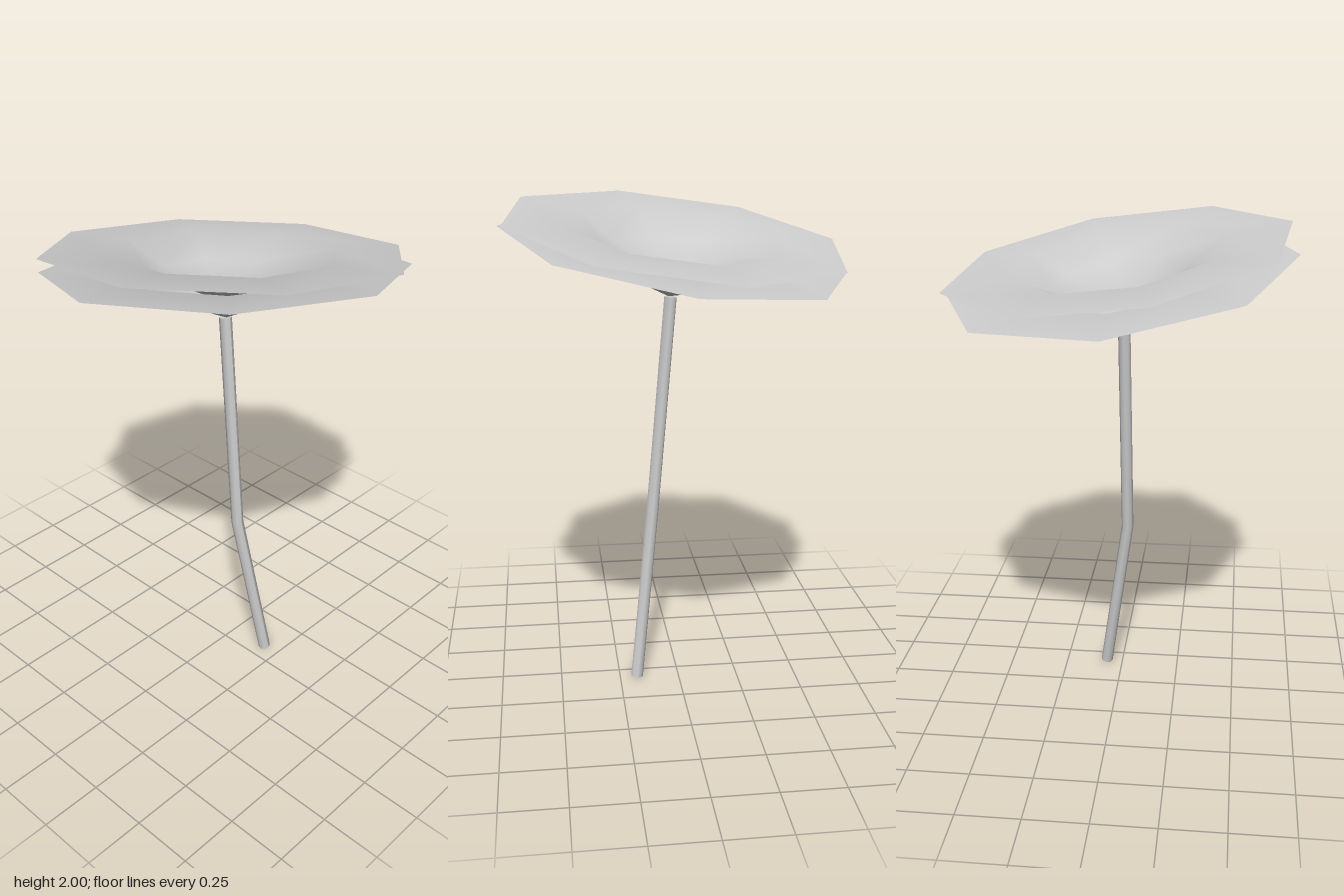
import * as THREE from 'three';
import { mergeVertices } from 'three/addons/utils/BufferGeometryUtils.js';

const grey = new THREE.MeshStandardMaterial({ color: 0xcccccc, side: THREE.DoubleSide });
grey.name = 'pale grey';

// Weld shared corners and smooth the shading over them
function smooth(geometry) {
  geometry.deleteAttribute('normal');
  geometry.deleteAttribute('uv');
  const welded = mergeVertices(geometry, 1e-4);
  welded.computeVertexNormals();
  return welded;
}

// Eight-sided funnel with a flat brim; its origin is the centre of the rim
function funnel(name, height, phase, slopeX, slopeZ) {
  const profile = [[0, -0.19], [0.275, -0.085], [0.435, -0.003], [0.703, 0]]
    .map(([r, y]) => new THREE.Vector2(r, y));
  const mesh = new THREE.Mesh(smooth(new THREE.LatheGeometry(profile, 8, phase)), grey);
  const normal = new THREE.Vector3(-slopeX, 1, -slopeZ).normalize();
  mesh.quaternion.setFromUnitVectors(new THREE.Vector3(0, 1, 0), normal);
  mesh.position.y = height;
  mesh.name = name;
  return mesh;
}

// Slender rod with one bend; each ring is moved to its place on the path
function stem() {
  const path = [
    new THREE.Vector3(0.07, 0.005, 0.178),
    new THREE.Vector3(-0.03, 0.71, 0.098),
    new THREE.Vector3(-0.021, 1.625, 0.02),
  ];
  const tilts = [[0.14, 0.11], [0.06, 0.1], [-0.01, 0.085]];
  const geometry = new THREE.CylinderGeometry(0.025, 0.025, 2, 8, 2);
  const p = geometry.attributes.position;
  for (let i = 0; i < p.count; i++) {
    const ring = Math.round(p.getY(i) + 1);
    const x = p.getX(i), z = p.getZ(i), c = path[ring];
    p.setXYZ(i, c.x + x, c.y + x * tilts[ring][0] + z * tilts[ring][1], c.z + z);
  }
  // Side and end caps stay separate so the ends keep a sharp edge
  geometry.computeVertexNormals();
  const mesh = new THREE.Mesh(geometry, grey);
  mesh.name = 'stem';
  return mesh;
}

export function createModel() {
  const model = new THREE.Group();
  model.name = 'funnel flower';
  model.add(
    stem(),
    funnel('lowerPetals', 1.8125, 0, -0.125, 0.146),
    funnel('upperPetals', 1.878, Math.PI / 12, -0.151, 0.116),
  );
  return model;
}
